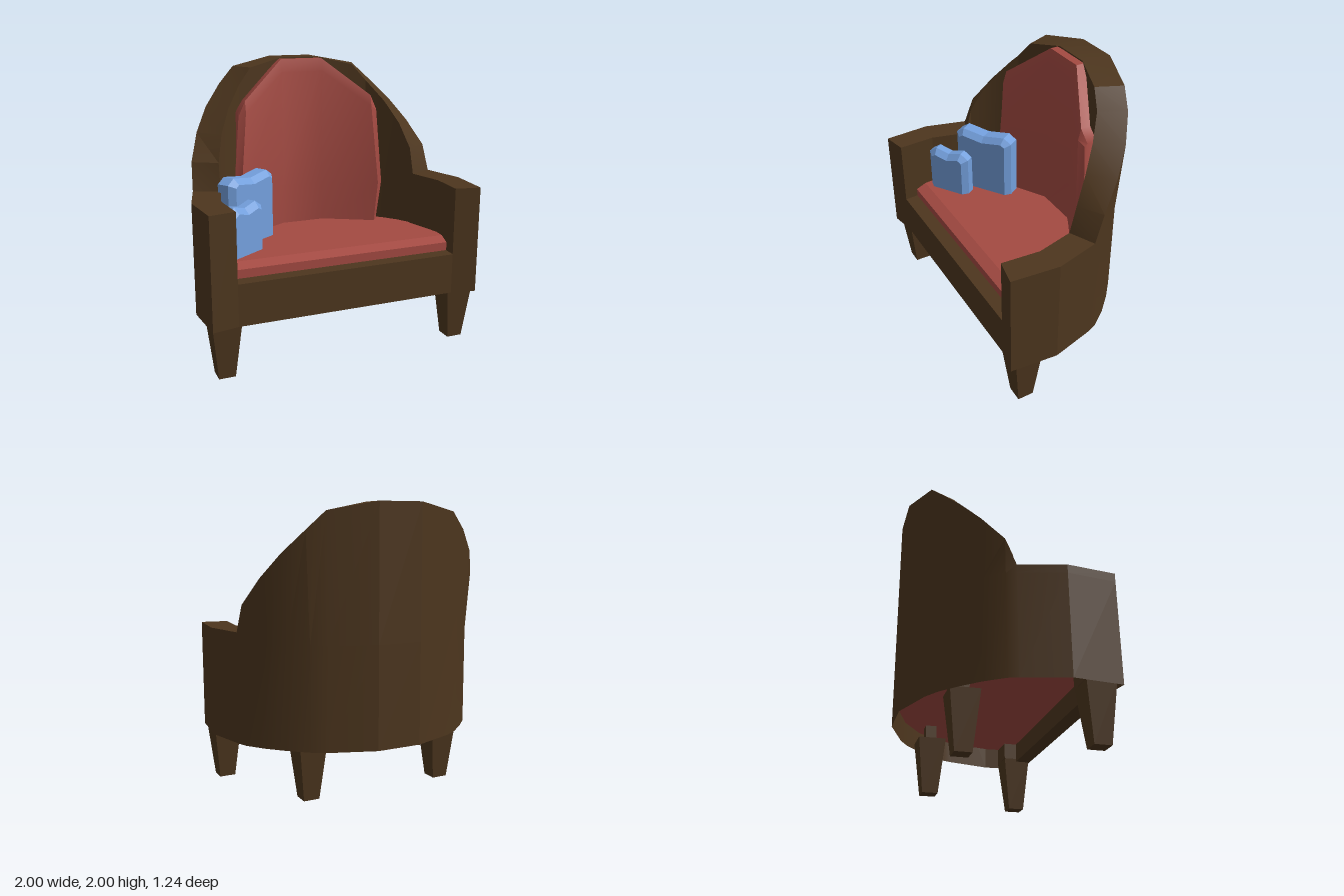
import * as THREE from 'three';
import { toCreasedNormals } from 'three/addons/utils/BufferGeometryUtils.js';

const material = (color) => new THREE.MeshStandardMaterial({ color, side: THREE.DoubleSide });

// Skin a row of cross-sections (arrays of [x, y, z]) and cap both ends.
function loft(sections, closed, crease) {
  const pos = [];
  const tri = (...pts) => pts.forEach((p) => pos.push(...p));
  const n = sections[0].length;
  for (let i = 0; i < sections.length - 1; i++) {
    const s = sections[i], t = sections[i + 1];
    for (let j = 0; j < (closed ? n : n - 1); j++) {
      const k = (j + 1) % n;
      tri(s[j], t[j], t[k]);
      tri(s[j], t[k], s[k]);
    }
  }
  const first = sections[0], last = sections[sections.length - 1];
  for (let j = 1; j < n - 1; j++) {
    tri(first[0], first[j], first[j + 1]);
    tri(last[0], last[j + 1], last[j]);
  }
  const geo = new THREE.BufferGeometry();
  geo.setAttribute('position', new THREE.Float32BufferAttribute(pos, 3));
  return toCreasedNormals(geo, crease);
}

// Continue a half row of sections with its mirror image across x = 0.
const mirrored = (half) =>
  half.concat(half.slice().reverse().map((s) => s.map(([x, y, z]) => [-x, y, z])));

export function createModel() {
  const model = new THREE.Group();
  model.name = 'tubArmchair';
  const wood = material(0x4d361e), red = material(0xa44a42), blue = material(0x739fdc);

  const add = (name, geo, mat, x = 0, y = 0, z = 0) => {
    const mesh = new THREE.Mesh(geo, mat);
    mesh.name = name;
    mesh.position.set(x, y, z);
    model.add(mesh);
    return mesh;
  };

  // Curved shell of arms and back; below arm height the rear corners are drawn in.
  // [outer x, outer z, inner x, inner z, rim height, inset of the lower wall]
  const shell = [
    [0.97, 0.615, 0.79, 0.58, 1.14, 0],
    [1.0, 0.28, 0.81, 0.31, 1.14, 0],
    [0.92, -0.03, 0.745, 0.05, 1.14, 0],
    [0.905, -0.1, 0.74, 0.0, 1.33, 0.01],
    [0.83, -0.24, 0.69, -0.09, 1.51, 0.03],
    [0.73, -0.36, 0.61, -0.19, 1.67, 0.04],
    [0.6, -0.46, 0.5, -0.29, 1.82, 0.03],
    [0.48, -0.51, 0.4, -0.33, 1.94, 0.01],
    [0.16, -0.62, 0.14, -0.41, 2.0, 0],
  ].map(([ox, oz, ix, iz, top, inset], i) => [
    [ox - inset, 0.37, oz + inset / 2], [ox - inset, 1.08, oz + inset / 2],
    [ox, top, oz], [ix, top, iz], [ix, i ? 0.6 : 0.37, iz],
  ]);
  add('armsAndBackShell', loft(mirrored(shell), false, 0.3), wood);

  // Front board under the seat
  add('frontBoard', new THREE.BoxGeometry(1.76, 0.29, 0.11), wood, 0, 0.515, 0.525);

  // Seat cushion with a sloped front edge, tucked into the shell
  const seatPlan = [
    [0.15, -0.59], [0.46, -0.48], [0.67, -0.34], [0.78, -0.2], [0.88, -0.03], [0.95, 0.28], [0.93, 0.48],
  ];
  const seatRing = (y, front) => {
    const half = seatPlan.map(([x, z]) => [x, y, Math.min(z, front)]);
    return half.concat(half.slice().reverse().map(([x, , z]) => [-x, y, z]));
  };
  const seatRings = [seatRing(0.51, 0.48), seatRing(0.72, 0.48), seatRing(0.75, 0.4)];
  add('seatCushion', loft(seatRings, true, 0.3), red);

  // Back cushion, bent around the shell:
  // [bottom x, middle x, top x, top height, lower front z, top front z, bevel]
  const panel = [
    [-0.54, -0.59, -0.54, 1.63, -0.17, -0.18, 0.02],
    [-0.51, -0.545, -0.49, 1.72, -0.135, -0.16, 0.08],
    [-0.16, -0.16, -0.16, 1.99, -0.33, -0.33, 0.09],
  ].map(([xb, xm, xt, top, z, zt, bevel]) => [
    [xb, 0.7, z], [xm, 1.05, z], [xt, top - bevel, zt], [xt, top, zt - 0.02],
    [xt, top, zt - 0.09], [xm, 1.05, z - 0.09], [xb, 0.7, z - 0.09],
  ]);
  add('backCushion', loft(mirrored(panel), true, 0.55), red);

  // Tapered square legs, each with a post joining it to the frame
  const legShape = new THREE.CylinderGeometry(0.1 * Math.SQRT2, 0.057 * Math.SQRT2, 0.4, 4);
  const legGeo = toCreasedNormals(legShape.rotateY(Math.PI / 4), 0.5);
  const leg = (name, x, z, postWidth) => {
    add(name, legGeo, wood, x, 0.2, z);
    add(name + 'Post', new THREE.BoxGeometry(postWidth, 0.21, postWidth), wood, x, 0.495, z);
  };
  for (const side of [1, -1]) {
    const name = side > 0 ? 'left' : 'right';
    leg(name + 'FrontLeg', side * 0.865, 0.475, 0.2);
    leg(name + 'BackLeg', side * 0.52, -0.28, 0.08);
  }

  // Throw pillows: chamfered slabs with a dipped top edge
  const pillow = (name, width, height, depth, x, z) => {
    const b = 0.04, w = width / 2 - b, h = height - b;
    const outline = new THREE.Shape([
      [-w, 0], [w, 0], [w, h - 0.02], [w - 0.03, h], [0, h - 0.025], [-w + 0.03, h], [-w, h - 0.02],
    ].map(([px, py]) => new THREE.Vector2(px, py)));
    const geo = new THREE.ExtrudeGeometry(outline, {
      depth: depth - 2 * b, bevelEnabled: true, bevelSegments: 1, bevelSize: b, bevelThickness: b,
    });
    geo.translate(0, 0, b - depth / 2);
    add(name, geo, blue, x, 0.75, z).rotation.y = 0.58;
  };
  pillow('largePillow', 0.47, 0.485, 0.17, -0.545, -0.03);
  pillow('smallPillow', 0.34, 0.34, 0.14, -0.655, 0.23);

  return model;
}
